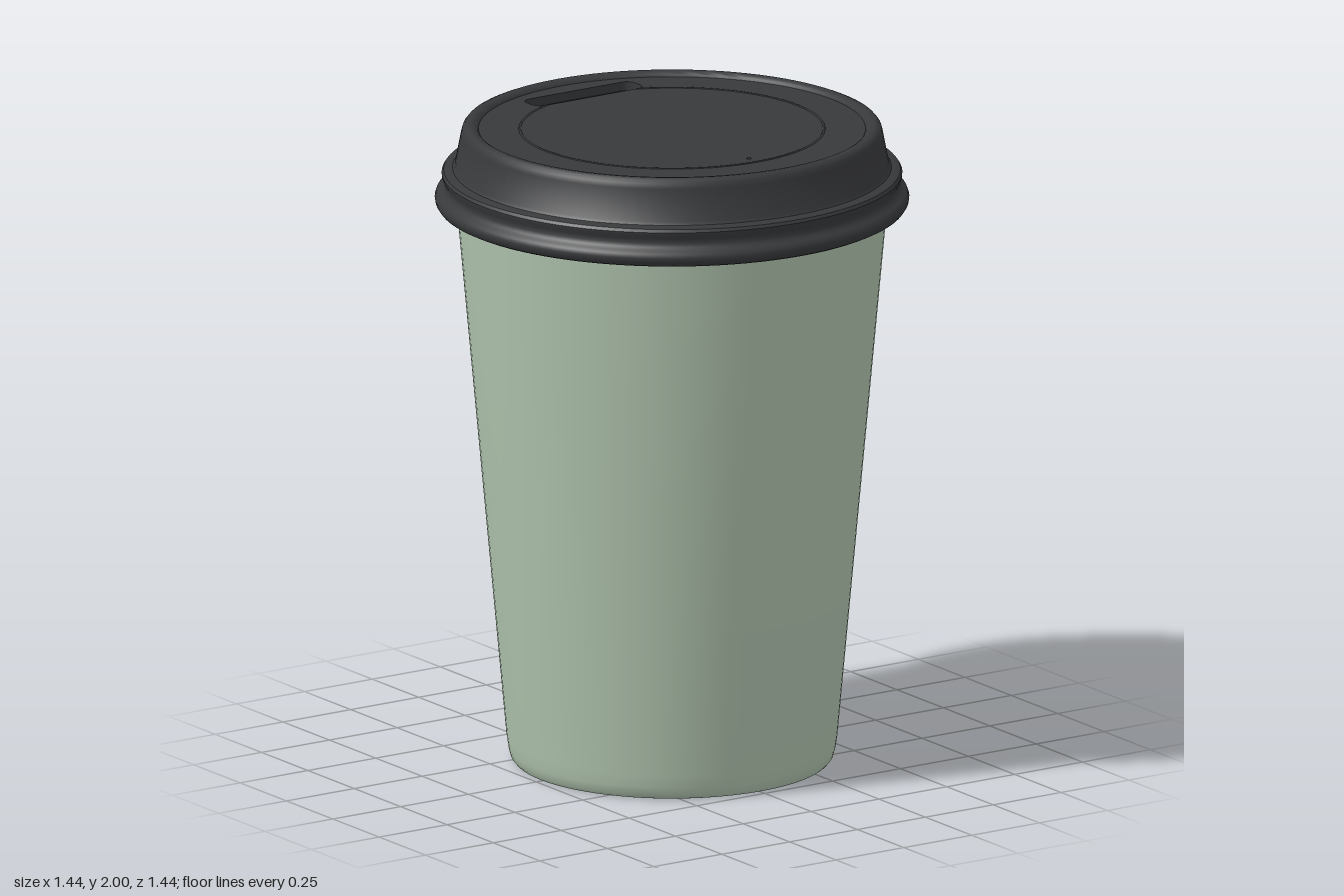
import * as THREE from 'three';
import { toCreasedNormals } from 'three/addons/utils/BufferGeometryUtils.js';

const SEGMENTS = 96;

function add(group, name, geometry, color) {
  const mesh = new THREE.Mesh(geometry, new THREE.MeshStandardMaterial({ color }));
  mesh.name = name;
  group.add(mesh);
  return mesh;
}

// Surface of revolution, smooth around and sharp at strong profile corners
function lathe(profile) {
  const points = profile.map(([r, y]) => new THREE.Vector2(r, y));
  return toCreasedNormals(new THREE.LatheGeometry(points, SEGMENTS), 0.6);
}

function roundedSlot(cx, cy, w, h, r) {
  const p = new THREE.Path();
  const x0 = cx - w / 2, x1 = cx + w / 2, y0 = cy - h / 2, y1 = cy + h / 2;
  p.moveTo(x0 + r, y0);
  p.absarc(x1 - r, y0 + r, r, -Math.PI / 2, 0);
  p.absarc(x1 - r, y1 - r, r, 0, Math.PI / 2);
  p.absarc(x0 + r, y1 - r, r, Math.PI / 2, Math.PI);
  p.absarc(x0 + r, y0 + r, r, Math.PI, Math.PI * 1.5);
  return p;
}

export function createModel() {
  const group = new THREE.Group();
  group.name = 'takeawayCup';
  const green = 0xb0c4ae, black = 0x38393b, darkBlack = 0x1d1e1f, card = 0xa89f92;

  // Tapered cup wall: recessed foot, rounded lower edge, outer and inner wall
  add(group, 'cupBody', lathe([
    [0.452, 0.07], [0.456, 0.02], [0.462, 0.004], [0.472, 0], [0.482, 0.003],
    [0.491, 0.014], [0.498, 0.04], [0.504, 0.08],
    [0.655, 1.74], [0.66, 1.8], [0.64, 1.8], [0.487, 0.08],
  ]), green);

  // Bottom disc set up inside the foot
  const base = add(group, 'cupBase', new THREE.CylinderGeometry(0.47, 0.47, 0.02, SEGMENTS), card);
  base.position.y = 0.065;

  // Lid skirt: rolled lip, neck, upper bead, sloped wall and rounded top rim
  add(group, 'lidSkirt', lathe([
    [0.64, 1.76], [0.655, 1.742], [0.7, 1.742], [0.712, 1.748], [0.72, 1.76],
    [0.722, 1.772], [0.718, 1.784], [0.708, 1.793], [0.697, 1.801], [0.692, 1.812],
    [0.693, 1.826], [0.7, 1.838], [0.701, 1.848], [0.695, 1.857], [0.684, 1.861],
    [0.668, 1.863], [0.661, 1.872], [0.642, 1.97], [0.638, 1.985], [0.63, 1.995],
    [0.618, 2], [0.604, 1.998], [0.594, 1.992], [0.588, 1.984], [0.586, 1.97],
  ]), black);

  // Flat lid panel with sip opening and vent hole
  const panel = new THREE.Shape();
  panel.absarc(0, 0, 0.59, 0, Math.PI * 2);
  const vent = new THREE.Path();
  vent.absarc(0, -0.415, 0.008, 0, Math.PI * 2);
  panel.holes.push(roundedSlot(0, 0.478, 0.4, 0.088, 0.03), vent);
  const panelGeometry = new THREE.ExtrudeGeometry(panel, {
    depth: 0.03, bevelEnabled: false, curveSegments: 48,
  });
  panelGeometry.rotateX(-Math.PI / 2);
  add(group, 'lidPanel', panelGeometry, black).position.y = 1.955;

  // Dark backing below the openings
  const backing = add(group, 'openingBacking', new THREE.CircleGeometry(0.57, SEGMENTS), darkBlack);
  backing.rotation.x = -Math.PI / 2;
  backing.position.y = 1.957;

  // Fine embossed ring, broken at the sip opening
  const gap = 0.36;
  const ringGeometry = new THREE.TorusGeometry(0.463, 0.005, 6, SEGMENTS, Math.PI * 2 - gap * 2);
  ringGeometry.rotateZ(Math.PI / 2 + gap);
  ringGeometry.rotateX(-Math.PI / 2);
  add(group, 'lidRing', ringGeometry, black).position.y = 1.983;

  return group;
}
